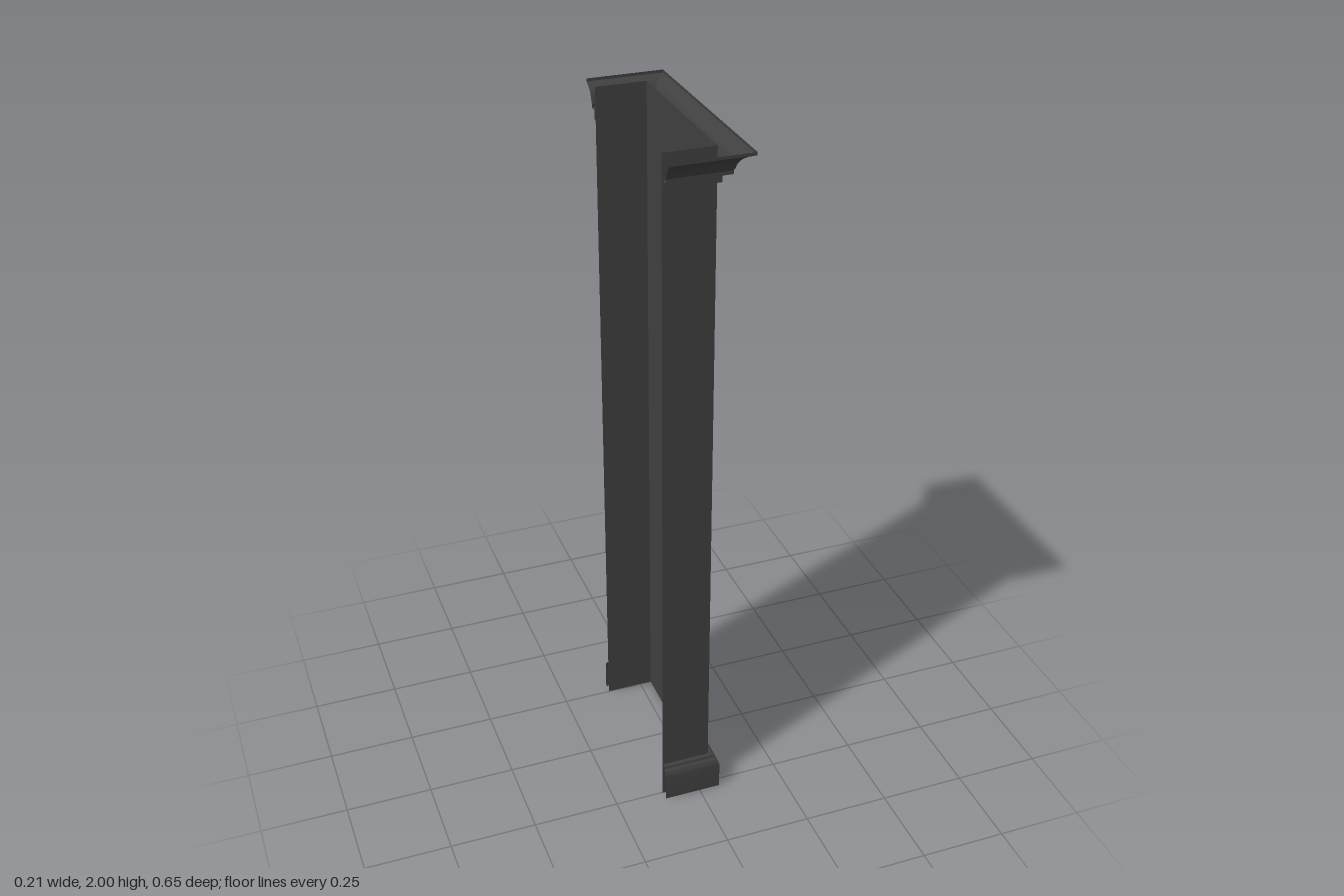
import * as THREE from 'three';
import { toCreasedNormals } from 'three/addons/utils/BufferGeometryUtils.js';

const END_X = -0.107;  // open ends of the two side wings
const FACE_X = 0.035;  // broad face of the shaft
const HALF_Z = 0.251;  // half width of the shaft

// Sweeps a profile of [outward offset, height] points, listed bottom to top,
// around the three-sided plan with mitred corners.
function sweepAround(profile) {
  const positions = [];
  const index = [];
  for (const [out, y] of profile) {
    const z = HALF_Z + out;
    const x = FACE_X + out;
    positions.push(END_X, y, z, x, y, z, x, y, -z, END_X, y, -z);
  }
  for (let j = 0; j < profile.length - 1; j++) {
    for (let i = 0; i < 3; i++) {
      const a = j * 4 + i;
      index.push(a, a + 1, a + 5, a, a + 5, a + 4);
    }
  }
  const geometry = new THREE.BufferGeometry();
  geometry.setAttribute('position', new THREE.Float32BufferAttribute(positions, 3));
  geometry.setIndex(index);
  return toCreasedNormals(geometry, Math.PI / 6);
}

// Points of a curved moulding between two profile points.
function curve(from, control, to, steps = 8) {
  return new THREE.QuadraticBezierCurve(
    new THREE.Vector2(...from), new THREE.Vector2(...control), new THREE.Vector2(...to)
  ).getPoints(steps).map((p) => [p.x, p.y]);
}

export function createModel() {
  const group = new THREE.Group();
  group.name = 'pilaster';
  const material = new THREE.MeshStandardMaterial({ color: 0x404040, side: THREE.DoubleSide });

  const parts = {
    // plain three-sided shell, open at the back
    shaft: [[0, 0], [0, 2]],
    // plinth with a rounded shoulder
    base: [
      [0.027, 0], [0.027, 0.08],
      ...curve([0.026, 0.085], [0.024, 0.1], [0.014, 0.102], 5),
      [0.012, 0.11], [0, 0.11],
    ],
    // fillet, step, cove and thin top lip
    cornice: [
      [0, 1.91], [0.01, 1.91], [0.01, 1.935], [0.03, 1.935], [0.03, 1.945],
      ...curve([0.033, 1.95], [0.038, 1.978], [0.064, 1.988]),
      [0.072, 1.992], [0.072, 2],
    ],
  };

  for (const [name, profile] of Object.entries(parts)) {
    const mesh = new THREE.Mesh(sweepAround(profile), material);
    mesh.name = name;
    group.add(mesh);
  }
  return group;
}
